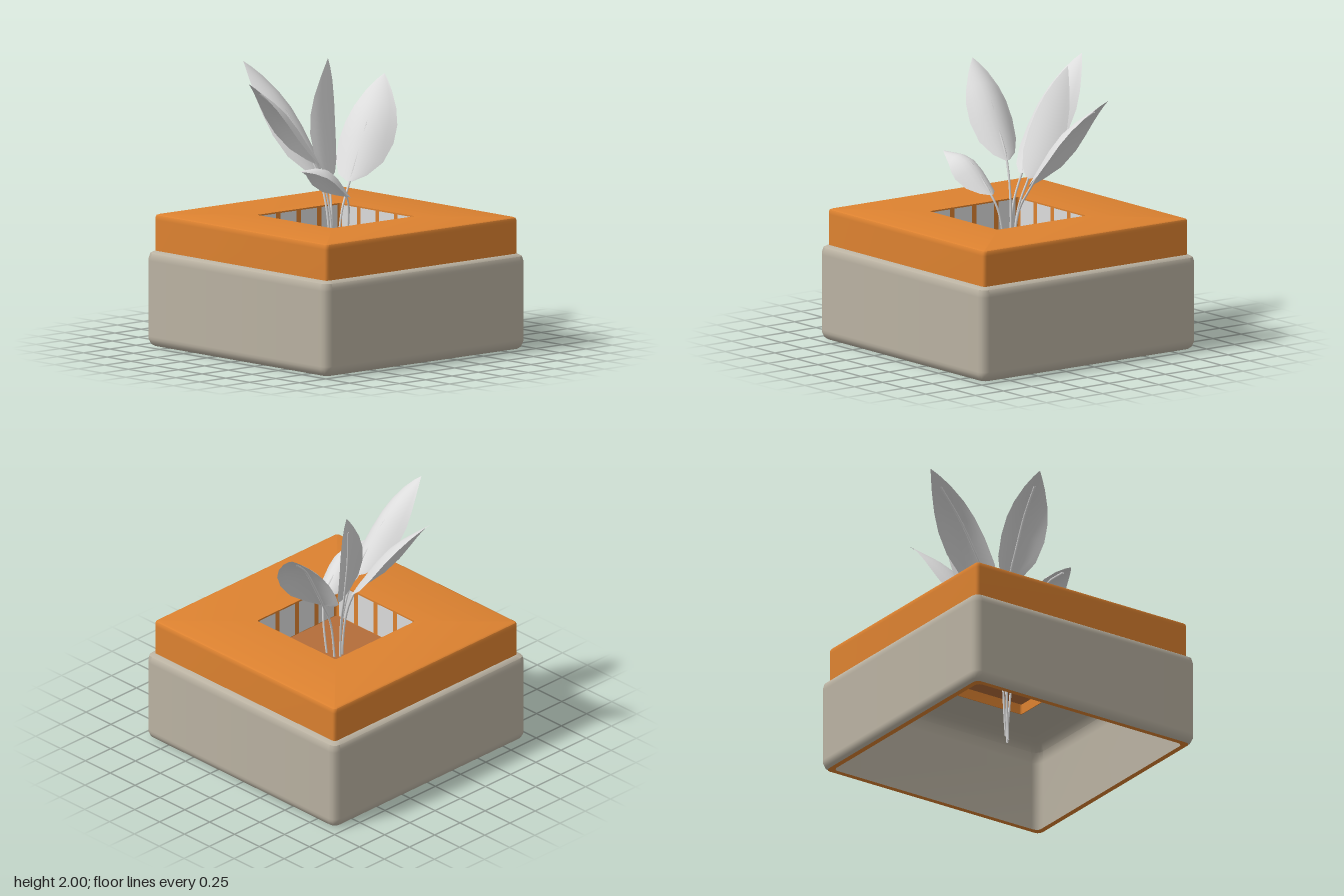
import * as THREE from 'three';
import { toCreasedNormals } from 'three/addons/utils/BufferGeometryUtils.js';

const orange = new THREE.MeshStandardMaterial({ color: 0xdd8230 });
orange.name = 'orange cushion';
const beige = new THREE.MeshStandardMaterial({ color: 0xbab2a2 });
beige.name = 'beige shell';
const brown = new THREE.MeshStandardMaterial({ color: 0xb46d39 });
brown.name = 'well floor brown';
const pale = new THREE.MeshStandardMaterial({ color: 0xdcdcdc, side: THREE.DoubleSide });
pale.name = 'pale grey';

function addMesh(parent, name, geometry, material) {
  const mesh = new THREE.Mesh(geometry, material);
  mesh.name = name;
  parent.add(mesh);
  return mesh;
}

// Sweeps a profile of [half width, y, corner radius] around a rounded square
function squareLoft(profile) {
  const steps = 3, ring = 4 * (steps + 1), pos = [], index = [];
  for (const [half, y, r] of profile) {
    for (let q = 0; q < 4; q++) {
      const mid = (q + 0.5) * Math.PI / 2;
      for (let s = 0; s <= steps; s++) {
        const a = (q + s / steps) * Math.PI / 2;
        pos.push(Math.sign(Math.cos(mid)) * (half - r) + r * Math.cos(a), y,
          Math.sign(Math.sin(mid)) * (half - r) + r * Math.sin(a));
      }
    }
  }
  for (let i = 0; i < profile.length - 1; i++) {
    for (let j = 0; j < ring; j++) {
      const k = (j + 1) % ring;
      const a = i * ring + j, b = a + ring, c = i * ring + k, d = c + ring;
      index.push(a, b, c, c, b, d);
    }
  }
  const g = new THREE.BufferGeometry();
  g.setAttribute('position', new THREE.Float32BufferAttribute(pos, 3));
  g.setIndex(index);
  return toCreasedNormals(g, 0.75);
}

// Half-width of a leaf along its length: blunt base, pointed tip
const outline = [[0, 0.12], [0.06, 0.52], [0.18, 0.87], [0.34, 1], [0.5, 0.95],
  [0.66, 0.77], [0.82, 0.47], [0.93, 0.2], [1, 0]];

function leafBlade(curve, side, halfWidth, droop) {
  const across = 8, pos = [], index = [];
  outline.forEach(([t, w], i) => {
    const p = curve.getPoint(t);
    const up = side.clone().cross(curve.getTangent(t)).normalize();
    for (let j = 0; j <= across; j++) {
      const u = (j / across) * 2 - 1;
      const v = p.clone().addScaledVector(side, u * w * halfWidth)
        .addScaledVector(up, -droop * u * u * w * w);
      pos.push(v.x, v.y, v.z);
      if (i < outline.length - 1 && j < across) {
        const a = i * (across + 1) + j, b = a + across + 1;
        index.push(a, a + 1, b, a + 1, b + 1, b);
      }
    }
  });
  const g = new THREE.BufferGeometry();
  g.setAttribute('position', new THREE.Float32BufferAttribute(pos, 3));
  g.setIndex(index);
  g.computeVertexNormals();
  return g;
}

// foot and neck guide the stalk; base, middle and tip guide the blade;
// side is the blade's crosswise direction, level unless given
const leaves = [
  { name: 'leftLeaf', foot: [-0.02, 0.1, 0.02], neck: [-0.06, 0.95, 0.03],
    blade: [[-0.14, 1.21, 0.03], [-0.46, 1.68, 0.085], [-0.79, 1.97, 0.17]], width: 0.185, droop: 0.08 },
  { name: 'backLeaf', foot: [-0.02, 0.16, 0], neck: [-0.03, 0.95, -0.08],
    blade: [[-0.06, 1.16, -0.18], [-0.16, 1.58, -0.45], [-0.32, 1.84, -0.75]], width: 0.21, droop: 0.09 },
  { name: 'tallLeaf', foot: [-0.03, 0.2, 0.01], neck: [-0.07, 0.95, -0.02],
    blade: [[-0.13, 1.19, -0.06], [-0.25, 1.6, -0.14], [-0.35, 2.0, -0.24]], side: [-0.2, -0.26, -0.94],
    width: 0.16, droop: 0.04 },
  { name: 'frontLeaf', foot: [-0.02, 0.12, 0.03], neck: [-0.04, 0.95, 0.02],
    blade: [[-0.07, 1.3, 0.1], [-0.13, 1.7, 0.38], [-0.19, 1.93, 0.66]], width: 0.165, droop: 0.09 },
  { name: 'curledLeaf', foot: [0, 0.2, -0.01], neck: [0.1, 0.95, -0.03],
    blade: [[0.135, 1.09, 0.01], [0.165, 1.315, 0.25], [0.18, 1.33, 0.52]], width: 0.135, droop: 0.1 },
];

function createLeaf({ name, foot, neck, blade, side, width, droop }) {
  const leaf = new THREE.Group();
  leaf.name = name;
  const spine = new THREE.CatmullRomCurve3(blade.map((p) => new THREE.Vector3(...p)));
  const lean = spine.getPoint(1).sub(spine.getPoint(0));
  const across = side ? new THREE.Vector3(...side) : lean.cross(new THREE.Vector3(0, 1, 0));
  across.normalize();
  addMesh(leaf, 'blade', leafBlade(spine, across, width, droop), pale);
  // Stalk runs up from inside the planter and on under the blade as its rib
  const rib = [0, 0.25, 0.5, 0.83].map((t) => spine.getPoint(t).addScaledVector(
    across.clone().cross(spine.getTangent(t)), -0.009));
  const path = new THREE.CatmullRomCurve3([
    new THREE.Vector3(...foot), new THREE.Vector3(...neck), ...rib,
  ]);
  addMesh(leaf, 'stalk', new THREE.TubeGeometry(path, 32, 0.008, 6), pale);
  return leaf;
}

export function createModel() {
  const model = new THREE.Group();
  model.name = 'planterBox';

  // Hollow body, open underneath, with a coloured bottom edge
  addMesh(model, 'shell', squareLoft([
    [0.92, 0, 0.04], [0.94, 0.015, 0.05], [0.955, 0.05, 0.06], [0.955, 0.07, 0.06],
    [0.955, 0.61, 0.06], [0.955, 0.63, 0.06], [0.945, 0.662, 0.05], [0.915, 0.68, 0.04],
    [0.4, 0.68, 0.02], [0.4, 0.655, 0.02],
    [0.76, 0.655, 0.06], [0.85, 0.64, 0.06], [0.89, 0.6, 0.06], [0.9, 0.54, 0.06],
    [0.9, 0.52, 0.06], [0.9, 0, 0.06],
  ]), beige);
  addMesh(model, 'bottomRim', squareLoft([[0.885, 0, 0.04], [0.925, 0, 0.04]]), orange);

  // Upper frame with a square well whose lining hangs below the ceiling
  addMesh(model, 'cushion', squareLoft([
    [0.4, 0.59, 0.015], [0.4, 0.66, 0.015],
  ]), orange);
  addMesh(model, 'cushion', squareLoft([
    [0.91, 0.67, 0.025], [0.91, 0.9, 0.025], [0.91, 0.92, 0.025], [0.904, 0.934, 0.022],
    [0.89, 0.94, 0.02], [0.395, 0.94, 0.015], [0.395, 0.59, 0.015], [0.4, 0.59, 0.015],
  ]), orange);
  const floor = addMesh(model, 'wellFloor', new THREE.BoxGeometry(0.79, 0.01, 0.79), brown);
  floor.position.y = 0.67;

  // Flat upright slats lining the well
  const slats = new THREE.Group();
  slats.name = 'wellSlats';
  for (let wall = 0; wall < 4; wall++) {
    const side = new THREE.Group();
    side.name = 'slatWall';
    side.rotation.y = wall * Math.PI / 2;
    for (let i = 0; i < 4; i++) {
      const slat = addMesh(side, 'slat', new THREE.PlaneGeometry(0.155, 0.25), pale);
      slat.position.set((i - 1.5) * 0.195, 0.805, -0.393);
    }
    slats.add(side);
  }
  model.add(slats);

  // Plant
  const plant = new THREE.Group();
  plant.name = 'plant';
  leaves.forEach((leaf) => plant.add(createLeaf(leaf)));
  model.add(plant);
  return model;
}
